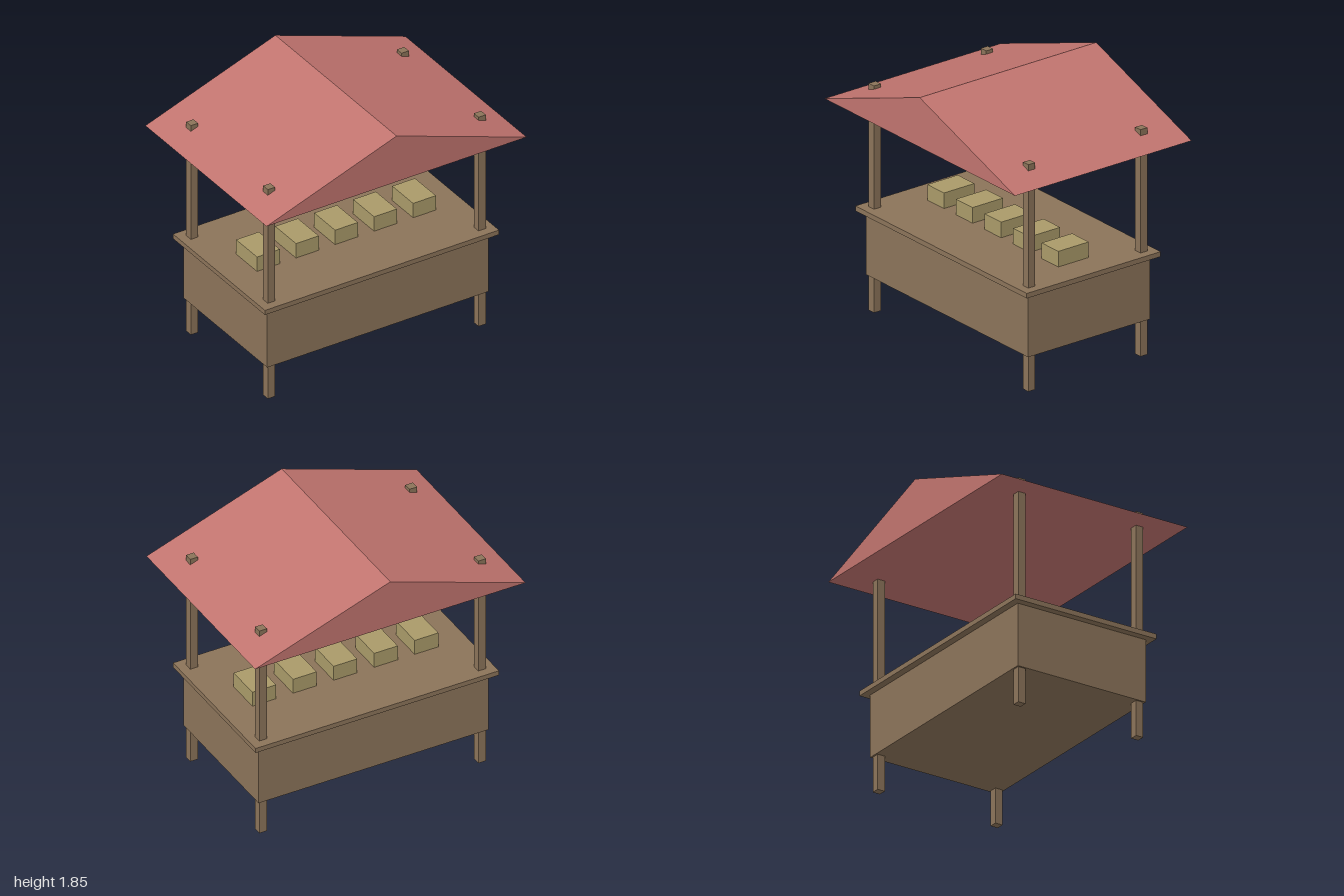
import * as THREE from 'three';

export function createModel() {
  const stall = new THREE.Group();
  stall.name = 'marketStall';

  const material = (name, color) => {
    const m = new THREE.MeshStandardMaterial({ color });
    m.name = name;
    return m;
  };
  const wood = material('brown wood', 0x8b7359);
  const canvas = material('red canvas', 0xc0736e);
  const straw = material('straw crate', 0xa99a69);

  // Box resting on a given base height
  const addBox = (name, mat, [w, h, d], [x, base, z]) => {
    const mesh = new THREE.Mesh(new THREE.BoxGeometry(w, h, d), mat);
    mesh.name = name;
    mesh.position.set(x, base + h / 2, z);
    stall.add(mesh);
  };

  // Counter body and overhanging top
  addBox('counterBody', wood, [1.7, 0.45, 1], [0, 0.25, 0]);
  addBox('counterTop', wood, [1.8, 0.035, 1.1], [0, 0.695, 0]);

  // Corner posts, poking through the roof
  for (const [side, sx] of [['left', 1], ['right', -1]]) {
    for (const [end, sz] of [['Front', 1], ['Back', -1]]) {
      addBox(`${side}${end}Post`, wood, [0.056, 1.6, 0.056], [sx * 0.81, 0, sz * 0.46]);
    }
  }

  // Row of goods crates
  for (let i = -2; i <= 2; i++) {
    addBox(`crate${i + 3}`, straw, [0.175, 0.11, 0.25], [i * 0.3, 0.73, 0]);
  }

  // Solid gabled roof
  const gable = new THREE.Shape([
    new THREE.Vector2(-1, 1.5),
    new THREE.Vector2(1, 1.5),
    new THREE.Vector2(0, 1.85),
  ]);
  const depth = 1.45;
  const roof = new THREE.Mesh(
    new THREE.ExtrudeGeometry(gable, { depth, bevelEnabled: false }).translate(0, 0, -depth / 2),
    canvas
  );
  roof.name = 'roof';
  stall.add(roof);

  return stall;
}
